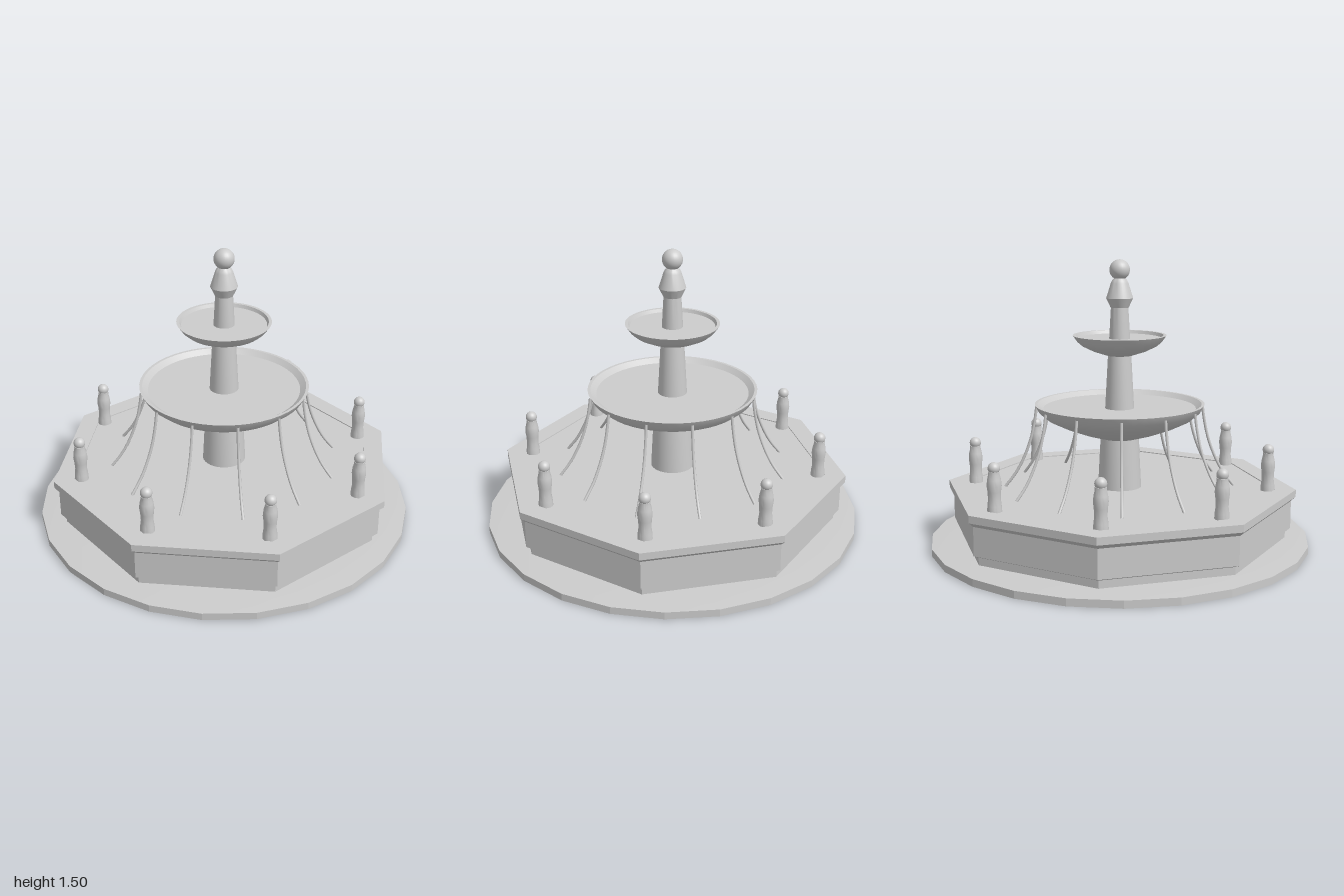
import * as THREE from 'three';
import { toCreasedNormals } from 'three/addons/utils/BufferGeometryUtils.js';

const stone = new THREE.MeshStandardMaterial({ color: 0xcccccc });
stone.name = 'stone';

// Turned part: profile of [radius, y] from bottom to top, with sharp edges kept
function turned(name, profile, sides, start = 0, crease = 0.5) {
  const points = profile.map(([r, y]) => new THREE.Vector2(r, y));
  const geometry = toCreasedNormals(new THREE.LatheGeometry(points, sides, start), crease);
  const mesh = new THREE.Mesh(geometry, stone);
  mesh.name = name;
  return mesh;
}

function ball(name, radius, y) {
  const mesh = new THREE.Mesh(new THREE.SphereGeometry(radius, 24, 16), stone);
  mesh.name = name;
  mesh.position.y = y;
  return mesh;
}

export function createModel() {
  const fountain = new THREE.Group();
  fountain.name = 'fountain';
  const oct = 1 / Math.cos(Math.PI / 8); // apothem to corner radius

  // Round paving slab with 24 sides
  fountain.add(turned('pavingSlab', [[0, 0], [1, 0], [1, 0.038], [0.88, 0.046], [0, 0.046]], 24, 0, 0.1));

  // Octagonal pool wall with plinth, moulding and coping
  const wall = [[0.81, 0.04], [0.81, 0.085], [0.835, 0.097], [0.835, 0.245],
    [0.857, 0.267], [0.857, 0.305], [0.757, 0.305], [0.757, 0.296]];
  fountain.add(turned('poolWall', wall.map(([a, y]) => [a * oct, y]), 8, Math.PI / 8, 0.1));
  fountain.add(turned('poolWater', [[0.76 * oct, 0.3], [0, 0.3]], 8, Math.PI / 8, 0.1));

  // Central columns, from the pool to the finial
  fountain.add(turned('lowerColumn', [[0.115, 0.298], [0.1, 0.58]], 32));
  fountain.add(turned('middleColumn', [[0.077, 0.71], [0.06, 1.02]], 32));
  fountain.add(turned('upperColumn', [[0.055, 1.08], [0.045, 1.26]], 32));

  // Two bowls with a thin lip and a shallow filled top
  fountain.add(turned('lowerBowl', [[0, 0.562], [0.1, 0.565], [0.2, 0.595], [0.3, 0.633],
    [0.38, 0.672], [0.425, 0.71], [0.445, 0.748], [0.43, 0.748], [0.4, 0.725], [0, 0.722]], 48));
  fountain.add(turned('upperBowl', [[0, 1], [0.07, 1.002], [0.14, 1.025], [0.195, 1.052],
    [0.22, 1.073], [0.244, 1.107], [0.228, 1.107], [0.22, 1.09], [0, 1.088]], 48));

  // Finial
  fountain.add(turned('finial', [[0, 1.248], [0.047, 1.25], [0.07, 1.298], [0.068, 1.304],
    [0.046, 1.375], [0.04, 1.388], [0.03, 1.4], [0, 1.4]], 32));
  fountain.add(ball('finialBall', 0.053, 1.444));

  // Small post in each corner of the pool
  for (let i = 0; i < 8; i++) {
    const angle = (i + 0.5) * Math.PI / 4;
    const post = new THREE.Group();
    post.name = 'cornerPost';
    post.add(turned('postBody', [[0.037, 0.298], [0.035, 0.33], [0.031, 0.36], [0.033, 0.4],
      [0.037, 0.43], [0.034, 0.46], [0.028, 0.485], [0.028, 0.5], [0, 0.503]], 20));
    post.add(ball('postBall', 0.03, 0.516));
    post.position.set(Math.sin(angle) * 0.78, 0, Math.cos(angle) * 0.78);
    fountain.add(post);
  }

  // Twelve jets curving from the lower bowl down to the pool
  const path = new THREE.CatmullRomCurve3(
    [[0.436, 0.73], [0.446, 0.66], [0.468, 0.56], [0.505, 0.46], [0.55, 0.375], [0.607, 0.3]]
      .map(([r, y]) => new THREE.Vector3(r, y, 0)));
  const jetGeometry = new THREE.TubeGeometry(path, 20, 0.0075, 8);
  for (let i = 0; i < 12; i++) {
    const jet = new THREE.Mesh(jetGeometry, stone);
    jet.name = 'waterJet';
    jet.rotation.y = i * Math.PI / 6;
    fountain.add(jet);
  }
  return fountain;
}
